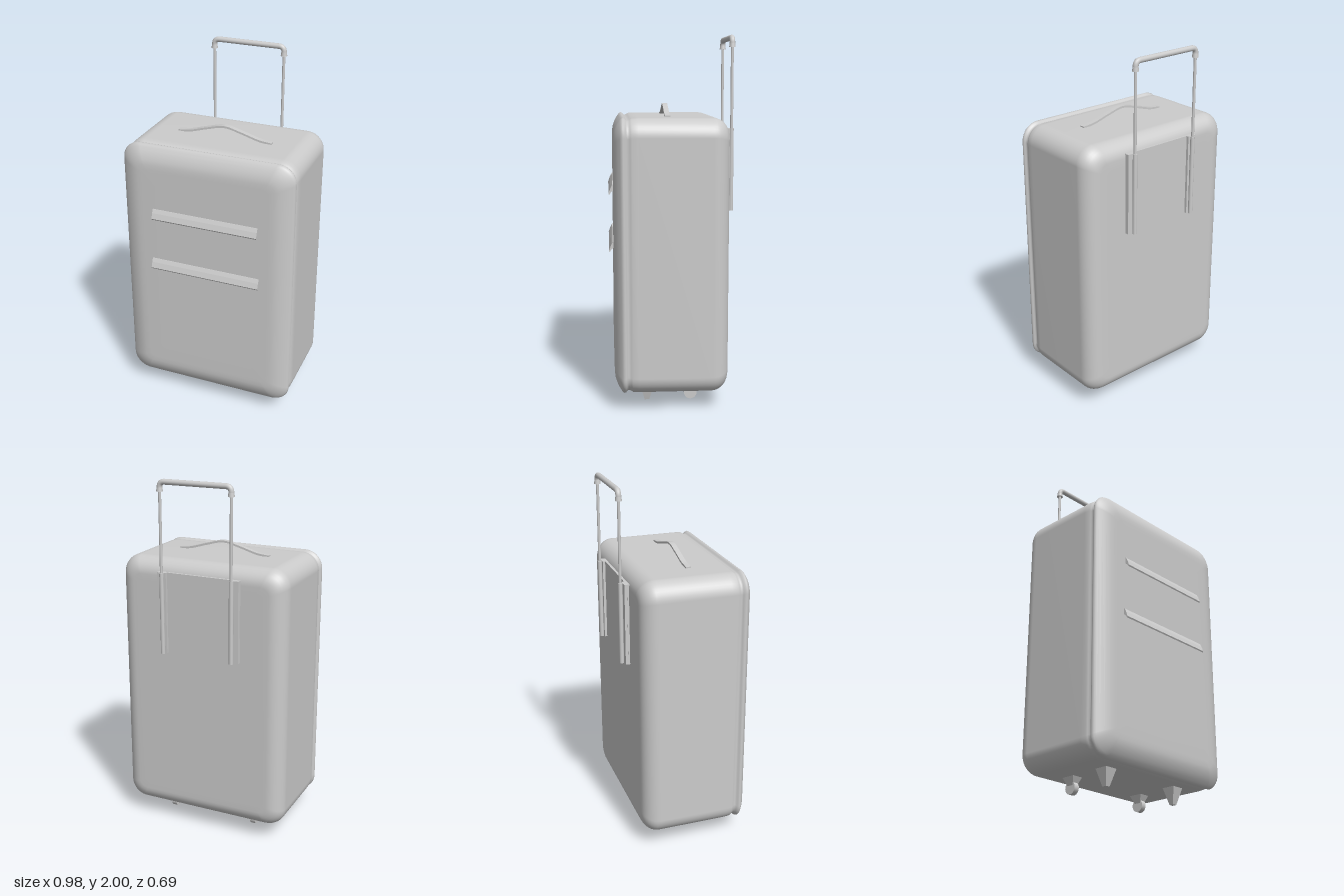
import * as THREE from 'three';

const material = new THREE.MeshStandardMaterial({ color: 0xcccccc, side: THREE.DoubleSide });
const flat = new THREE.MeshStandardMaterial({ color: 0xcccccc, flatShading: true, side: THREE.DoubleSide });

function add(parent, name, geometry, x = 0, y = 0, z = 0, mat = material) {
  const mesh = new THREE.Mesh(geometry, mat);
  mesh.name = name;
  mesh.position.set(x, y, z);
  parent.add(mesh);
  return mesh;
}

// Rounded rectangle outline, counter-clockwise, in the xy plane
function ring(hw, hh, r, steps = 10) {
  const pts = [];
  [[1, 1], [-1, 1], [-1, -1], [1, -1]].forEach(([sx, sy], q) => {
    for (let i = 0; i <= steps; i++) {
      const a = (q + i / steps) * Math.PI / 2;
      pts.push([sx * (hw - r) + r * Math.cos(a), sy * (hh - r) + r * Math.sin(a)]);
    }
  });
  return pts;
}

// Loft of rounded rectangles: each profile entry is [z, inset]
function shellGeometry(hw, hh, radius, profile) {
  const pos = [], idx = [];
  let n = 0;
  for (const [z, inset] of profile) {
    const pts = ring(hw - inset, hh - inset, Math.max(0.03, radius - inset * 0.6));
    n = pts.length;
    for (const [x, y] of pts) pos.push(x, y, z);
  }
  const rows = profile.length;
  for (let j = 0; j < rows - 1; j++) {
    for (let i = 0; i < n; i++) {
      const a = j * n + i, b = j * n + (i + 1) % n;
      idx.push(a, b, b + n, a, b + n, a + n);
    }
  }
  pos.push(0, 0, profile[0][0], 0, 0, profile[rows - 1][0]);
  for (let i = 0; i < n; i++) {
    const k = (i + 1) % n, last = (rows - 1) * n;
    idx.push(rows * n, k, i, rows * n + 1, last + i, last + k);
  }
  const g = new THREE.BufferGeometry();
  g.setAttribute('position', new THREE.Float32BufferAttribute(pos, 3));
  g.setIndex(idx);
  g.computeVertexNormals();
  return g;
}

function box(parent, name, x0, x1, y0, y1, z0, z1) {
  return add(parent, name, new THREE.BoxGeometry(x1 - x0, y1 - y0, z1 - z0),
    (x0 + x1) / 2, (y0 + y1) / 2, (z0 + z1) / 2);
}

export function createModel() {
  const suitcase = new THREE.Group();
  suitcase.name = 'suitcase';

  // Soft shell: rounded back, piping groove and lip, domed front
  const profile = [[-0.29, 0.13]];
  for (let i = 0; i <= 8; i++) {
    const a = i / 8 * Math.PI / 2;
    profile.push([-0.2 - 0.09 * Math.cos(a), 0.09 * (1 - Math.sin(a))]);
  }
  profile.push([0.19, 0], [0.222, 0.002], [0.232, 0.008], [0.245, 0.013], [0.253, 0.008], [0.259, 0.001],
    [0.268, -0.002], [0.278, 0.004], [0.285, 0.014], [0.295, 0.028], [0.306, 0.05],
    [0.315, 0.075], [0.319, 0.1], [0.32, 0.13], [0.32, 0.2]);
  add(suitcase, 'shell', shellGeometry(0.487, 0.737, 0.1, profile), 0, 0.828, 0);

  // Slanted flaps over the front pockets
  for (const [name, top, half] of [['upperPocketFlap', 1.21, 0.302], ['lowerPocketFlap', 0.902, 0.314]]) {
    const s = new THREE.Shape();
    [[0.312, 0], [0.324, 0], [0.334, -0.02], [0.345, -0.05], [0.341, -0.057], [0.33, -0.04], [0.312, -0.028]]
      .forEach(([z, y], i) => (i ? s.lineTo(-z, y) : s.moveTo(-z, y)));
    s.closePath();
    const g = new THREE.ExtrudeGeometry(s, { depth: half * 2, bevelEnabled: false });
    g.rotateY(Math.PI / 2);
    add(suitcase, name, g, -half, top, 0);
  }

  // Arched carry strap on top
  const upper = new THREE.CatmullRomCurve3(
    [[-0.27, 1.572], [-0.2, 1.58], [-0.1, 1.608], [0, 1.63], [0.1, 1.608], [0.2, 1.58], [0.27, 1.572]]
      .map(([x, y]) => new THREE.Vector3(x, y, 0))).getPoints(36);
  const strap = new THREE.Shape();
  upper.forEach((p, i) => (i ? strap.lineTo(p.x, p.y) : strap.moveTo(p.x, p.y)));
  upper.reverse().forEach(p => strap.lineTo(p.x, p.y - 0.011));
  strap.closePath();
  add(suitcase, 'carryStrap',
    new THREE.ExtrudeGeometry(strap, { depth: 0.028, bevelEnabled: false }), 0, 0, 0.012);

  // Back plate with side channels, and the telescopic poles
  const trolley = new THREE.Group();
  trolley.name = 'trolleyHandle';
  suitcase.add(trolley);
  box(trolley, 'backPlate', -0.24, 0.237, 1.05, 1.5, -0.3, -0.28);
  const poleZ = -0.326;
  for (const s of [-1, 1]) {
    box(trolley, 'sideChannel', s * 0.212 - 0.027, s * 0.212 + 0.027, 1.05, 1.5, -0.314, -0.29);
    add(trolley, 'poleSleeve', new THREE.CylinderGeometry(0.012, 0.012, 0.45, 16), s * 0.204, 1.275, poleZ);
    add(trolley, 'pole', new THREE.CylinderGeometry(0.008, 0.008, 0.5, 16), s * 0.204, 1.7, poleZ);
    add(trolley, 'gripCuff', new THREE.CylinderGeometry(0.015, 0.018, 0.022, 20), s * 0.204, 1.945, poleZ);
  }
  const path = new THREE.CurvePath();
  const v = (x, y) => new THREE.Vector3(x, y, poleZ);
  path.add(new THREE.LineCurve3(v(-0.204, 1.94), v(-0.204, 1.955)));
  path.add(new THREE.QuadraticBezierCurve3(v(-0.204, 1.955), v(-0.204, 1.985), v(-0.174, 1.985)));
  path.add(new THREE.LineCurve3(v(-0.174, 1.985), v(0.174, 1.985)));
  path.add(new THREE.QuadraticBezierCurve3(v(0.174, 1.985), v(0.204, 1.985), v(0.204, 1.955)));
  path.add(new THREE.LineCurve3(v(0.204, 1.955), v(0.204, 1.94)));
  add(trolley, 'grip', new THREE.TubeGeometry(path, 90, 0.015, 14));

  // Tapered front feet, rear wheels in their forks
  for (const s of [-1, 1]) {
    const foot = new THREE.CylinderGeometry(0.056, 0.018, 0.1, 4);
    foot.rotateY(Math.PI / 4);
    add(suitcase, 'frontFoot', foot, s * 0.257, 0.05, 0.142, flat);

    const fork = new THREE.CylinderGeometry(0.062, 0.022, 0.06, 4);
    fork.rotateY(Math.PI / 4);
    fork.scale(0.8, 1, 1);
    add(suitcase, 'wheelFork', fork, s * 0.257, 0.07, -0.1, flat);
    const wheel = new THREE.CylinderGeometry(0.035, 0.035, 0.03, 24);
    wheel.rotateZ(Math.PI / 2);
    add(suitcase, 'rearWheel', wheel, s * 0.257, 0.035, -0.1);
  }
  return suitcase;
}
